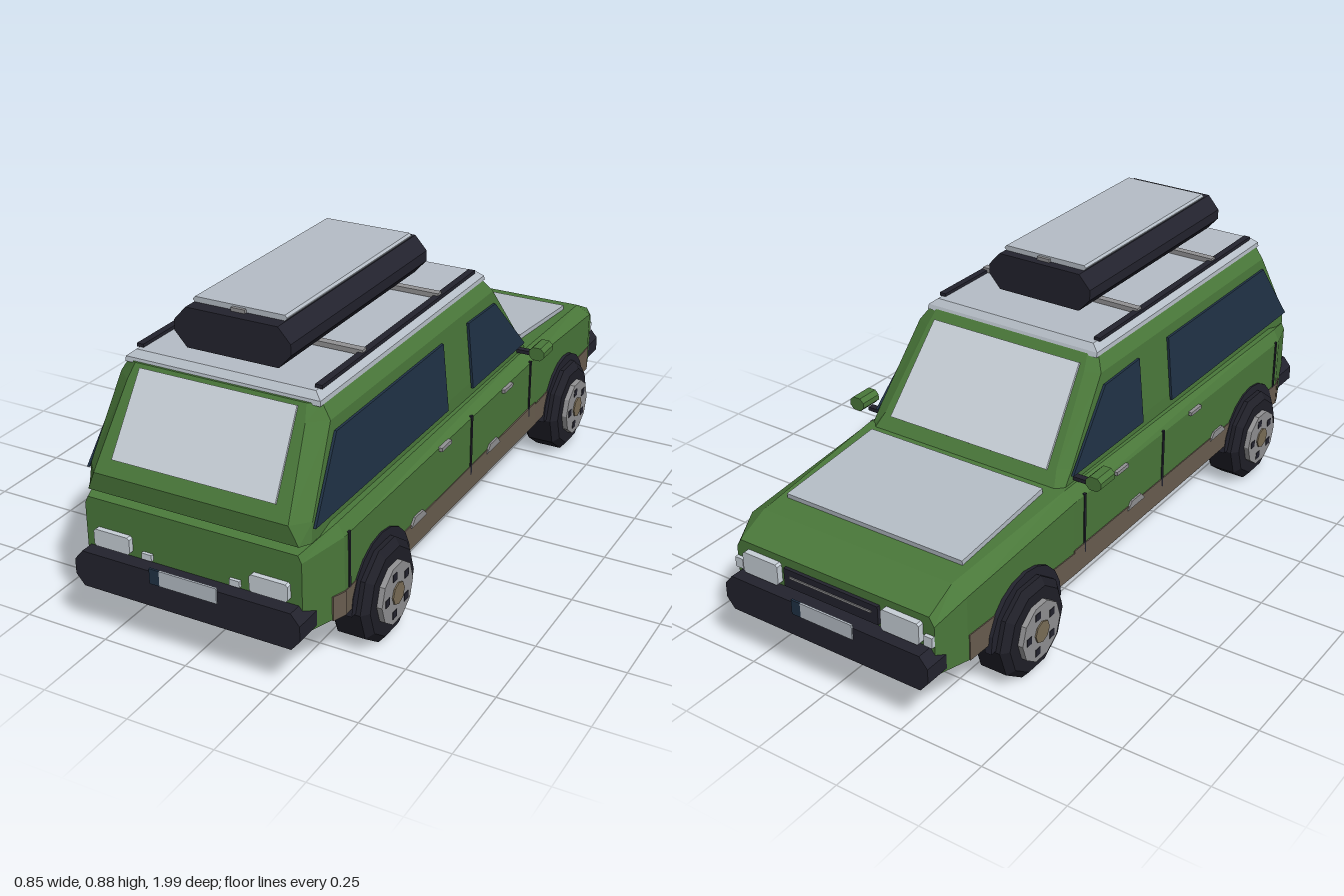
import * as THREE from 'three';

const mat = (name, color) => new THREE.MeshStandardMaterial({ name, color, flatShading: true });

// Convex solid through a list of equal-length rings, every face turned outward
function loft(rings) {
  const V = rings.map(r => r.map(p => new THREE.Vector3(...p)));
  const mid = new THREE.Vector3();
  V.flat().forEach(p => mid.addScaledVector(p, 1 / V.flat().length));
  const out = [], n = V[0].length;
  const tri = (a, b, c) => {
    const nrm = b.clone().sub(a).cross(c.clone().sub(a));
    const away = a.clone().add(b).add(c).divideScalar(3).sub(mid);
    (nrm.dot(away) < 0 ? [a, c, b] : [a, b, c]).forEach(p => out.push(p.x, p.y, p.z));
  };
  for (let i = 0; i < V.length - 1; i++) {
    for (let j = 0; j < n; j++) {
      const k = (j + 1) % n;
      tri(V[i][j], V[i][k], V[i + 1][k]);
      tri(V[i][j], V[i + 1][k], V[i + 1][j]);
    }
  }
  for (const ring of [V[0], V[V.length - 1]])
    for (let j = 1; j < n - 1; j++) tri(ring[0], ring[j], ring[j + 1]);
  const g = new THREE.BufferGeometry();
  g.setAttribute('position', new THREE.Float32BufferAttribute(out, 3));
  g.computeVertexNormals();
  return g;
}

// Thin plate: a polygon and its copy shifted by d
const plate = (pts, d) => loft([pts, pts.map(p => p.map((v, i) => v + d[i]))]);

// Chamfered bar along z
function bar(w, y0, y1, cx, cy, z0, z1, x = 0) {
  const o = [[w - cx, y0], [w, y0 + cy], [w, y1 - cy], [w - cx, y1]];
  const ring = [...o, ...o.slice().reverse().map(([a, b]) => [-a, b])];
  return loft([z0, z1].map(z => ring.map(([a, b]) => [a + x, b, z])));
}

export function createModel() {
  const car = new THREE.Group();
  car.name = 'stationWagon';
  const green = mat('greenPaint', 0x4a783a);
  const dark = mat('blackPlastic', 0x23232e);
  const pale = mat('paleGrey', 0xb6bec7);
  const screen = mat('paleGlass', 0xc8d0d8);
  const glass = mat('darkGlass', 0x203246);
  const grey = mat('midGrey', 0x929294);
  const mud = mat('mudBrown', 0x6a5e50);
  const tan = mat('hubTan', 0x7c6f58);
  const tyreMat = mat('tyreRubber', 0x1f1f28);

  const add = (name, geo, m, parent = car) => {
    const mesh = new THREE.Mesh(geo, m);
    mesh.name = name;
    parent.add(mesh);
    return mesh;
  };
  const box = (name, m, x, y, z, w, h, d, parent) => {
    const mesh = add(name, new THREE.BoxGeometry(w, h, d), m, parent);
    mesh.position.set(x, y, z);
    return mesh;
  };

  // Lower body: z, half width, shoulder height, deck half width, deck height
  add('lowerBody', loft([
    [0.95, 0.32, 0.365, 0.31, 0.385],
    [0.82, 0.365, 0.385, 0.345, 0.42],
    [-0.38, 0.365, 0.39, 0.335, 0.42],
    [-0.85, 0.355, 0.355, 0.31, 0.38],
    [-0.945, 0.325, 0.31, 0.31, 0.335],
  ].map(([z, w, ys, wt, yt]) => [
    [w - 0.03, 0.145, z], [w, 0.165, z], [w, ys, z], [wt, yt, z],
    [-wt, yt, z], [-w, ys, z], [-w, 0.165, z], [-w + 0.03, 0.145, z],
  ])), green);

  // Cabin: height, half width, rear z, rear half width, rear corner z, then front
  add('cabin', loft([
    [0.405, 0.328, 0.945, 0.31, 0.915, -0.4, 0.31, -0.38],
    [0.46, 0.326, 0.95, 0.285, 0.905, -0.355, 0.29, -0.335],
    [0.67, 0.307, 0.82, 0.26, 0.78, -0.185, 0.265, -0.165],
    [0.71, 0.282, 0.795, 0.25, 0.775, -0.153, 0.255, -0.14],
  ].map(([y, w, zr, wr, cr, zf, wf, cf]) => [
    [wr, y, zr], [w, y, cr], [w, y, cf], [wf, y, zf],
    [-wf, y, zf], [-w, y, cf], [-w, y, cr], [-wr, y, zr],
  ])), green);

  // Roof skin, bonnet panel and screens
  add('roof', loft([[0.705, 0.285, 0.79, -0.155], [0.718, 0.284, 0.787, -0.15], [0.735, 0.262, 0.77, -0.135]]
    .map(([y, w, a, b]) => [[w, y, a], [w, y, b], [-w, y, b], [-w, y, a]])), pale);
  box('bonnetPanel', pale, 0, 0.405, -0.6, 0.58, 0.022, 0.36).rotation.x = -0.09;
  add('rearScreen', plate([[-0.24, 0.495, 0.926], [0.24, 0.495, 0.926],
    [0.23, 0.7, 0.799], [-0.23, 0.7, 0.799]], [0, 0.004, 0.007]), screen);
  add('windscreen', plate([[-0.265, 0.45, -0.361], [0.265, 0.45, -0.361],
    [0.245, 0.685, -0.171], [-0.245, 0.685, -0.171]], [0, 0.005, -0.007]), screen);

  // Roof rack and luggage box
  for (const z of [0.1, 0.53]) box('crossBar', grey, 0, 0.744, z, 0.53, 0.014, 0.022);
  add('luggageBox', bar(0.17, 0.75, 0.86, 0.036, 0.04, -0.01, 0.73), dark);
  add('luggageLid', bar(0.137, 0.86, 0.875, 0.006, 0.006, 0.02, 0.69), pale);
  for (const z of [0.016, 0.694]) box('lidLatch', grey, 0, 0.864, z, 0.04, 0.012, 0.01);

  // Bumpers, number plates and grille
  add('rearBumper', bar(0.335, 0.142, 0.245, 0.025, 0.03, 0.86, 0.99), dark);
  add('frontBumper', bar(0.335, 0.142, 0.245, 0.025, 0.03, -0.99, -0.87), dark);
  for (const s of [1, -1]) {
    box('numberPlate', pale, s * 0.015, 0.233, s * 0.991, 0.17, 0.044, 0.006);
    box('plateBand', glass, -s * 0.085, 0.233, s * 0.991, 0.03, 0.044, 0.006);
  }
  box('grille', dark, 0, 0.282, -0.948, 0.31, 0.055, 0.014);
  box('grilleSlat', grey, 0, 0.288, -0.956, 0.27, 0.006, 0.004);

  for (const s of [1, -1]) {
    // Side windows
    const pane = (name, pts) => add(name, plate(pts.map(([z, y]) =>
      [s * (0.331 - (y - 0.44) * 0.1), y, z]), [s * 0.007, 0, 0]), glass);
    pane('rearSideWindow', [[0.91, 0.445], [0.77, 0.64], [0.18, 0.64], [0.18, 0.445]]);
    pane('frontSideWindow', [[0.02, 0.445], [0.02, 0.64], [-0.16, 0.635], [-0.345, 0.445]]);

    // Mud along the sills
    for (const [z0, x0, z1, x1] of [[0.82, 0.363, -0.38, 0.363], [-0.38, 0.363, -0.845, 0.353]])
      add('muddySill', plate([[s * x0, 0.163, z0], [s * x0, 0.232, z0],
        [s * x1, 0.24, z1], [s * x1, 0.163, z1]], [s * 0.005, 0, 0]), mud);
    add('muddyCorner', plate([[s * 0.363, 0.163, 0.82], [s * 0.363, 0.232, 0.82],
      [s * 0.349, 0.232, 0.86], [s * 0.349, 0.163, 0.86]], [s * 0.006, 0, 0]), mud);

    // Door gaps, handles and scuffs
    for (const [z, y0, y1] of [[0.797, 0.23, 0.41], [0.087, 0.21, 0.415], [-0.33, 0.21, 0.415]])
      box('doorGap', dark, s * 0.364, (y0 + y1 - 0.02) / 2, z, 0.008, y1 - y0 - 0.02, 0.009);
    for (const z of [0.265, -0.15]) box('doorHandle', grey, s * 0.367, 0.384, z, 0.016, 0.011, 0.06);
    for (const z of [0.42, -0.063])
      add('doorScuff', plate([[0.046, 0.228], [0.025, 0.25], [-0.025, 0.25], [-0.046, 0.228]]
        .map(([a, y]) => [s * 0.364, y, z + a]), [s * 0.007, 0, 0]), grey);

    // Mirrors and roof rails
    box('mirrorArm', dark, s * 0.35, 0.43, -0.32, 0.055, 0.011, 0.02);
    add('mirror', bar(0.024, 0.426, 0.466, 0.012, 0.012, -0.35, -0.28, s * 0.403), green);
    box('roofRail', dark, s * 0.261, 0.739, 0.32, 0.02, 0.01, 0.87);

    // Lamps
    add('tailLamp', bar(0.055, 0.255, 0.304, 0.006, 0.006, 0.945, 0.965, s * 0.233), screen);
    box('reversingLamp', screen, s * 0.131, 0.26, 0.953, 0.03, 0.018, 0.012);
    add('headLamp', bar(0.06, 0.252, 0.315, 0.006, 0.006, -0.963, -0.935, s * 0.23), screen);
    box('indicator', screen, s * 0.312, 0.268, -0.948, 0.026, 0.03, 0.016);

    // Wheels and arches
    for (const z of [0.632, -0.612]) {
      const arch = add('wheelArch', new THREE.CylinderGeometry(0.162, 0.162, 0.02, 10, 1, false, 0, Math.PI), dark);
      arch.rotation.z = Math.PI / 2;
      arch.position.set(s * 0.36, 0.14, z);

      const wheel = new THREE.Group();
      wheel.name = 'wheel';
      const disc = (name, r, x, w, m, n) =>
        add(name, new THREE.CylinderGeometry(r, r, w, n).rotateZ(-Math.PI / 2).translate(x, 0, 0), m, wheel);
      const profile = [[0, -0.0575], [0.122, -0.0575], [0.143, -0.04], [0.143, 0.04], [0.122, 0.0575], [0, 0.0575]];
      add('tyre', new THREE.LatheGeometry(profile.map(p => new THREE.Vector2(...p)), 10)
        .rotateZ(-Math.PI / 2), tyreMat, wheel);
      disc('rim', 0.087, 0.06, 0.026, grey, 10);
      disc('hubCap', 0.032, 0.066, 0.022, tan, 8);
      for (let i = 0; i < 5; i++) {
        const a = i * Math.PI * 0.4 + 0.3;
        box('rimHole', dark, 0.072, Math.cos(a) * 0.058, Math.sin(a) * 0.058, 0.005, 0.022, 0.022, wheel);
      }
      wheel.rotation.y = s > 0 ? 0 : Math.PI;
      wheel.position.set(s * 0.343, 0.136, z);
      car.add(wheel);
    }
  }
  return car;
}
